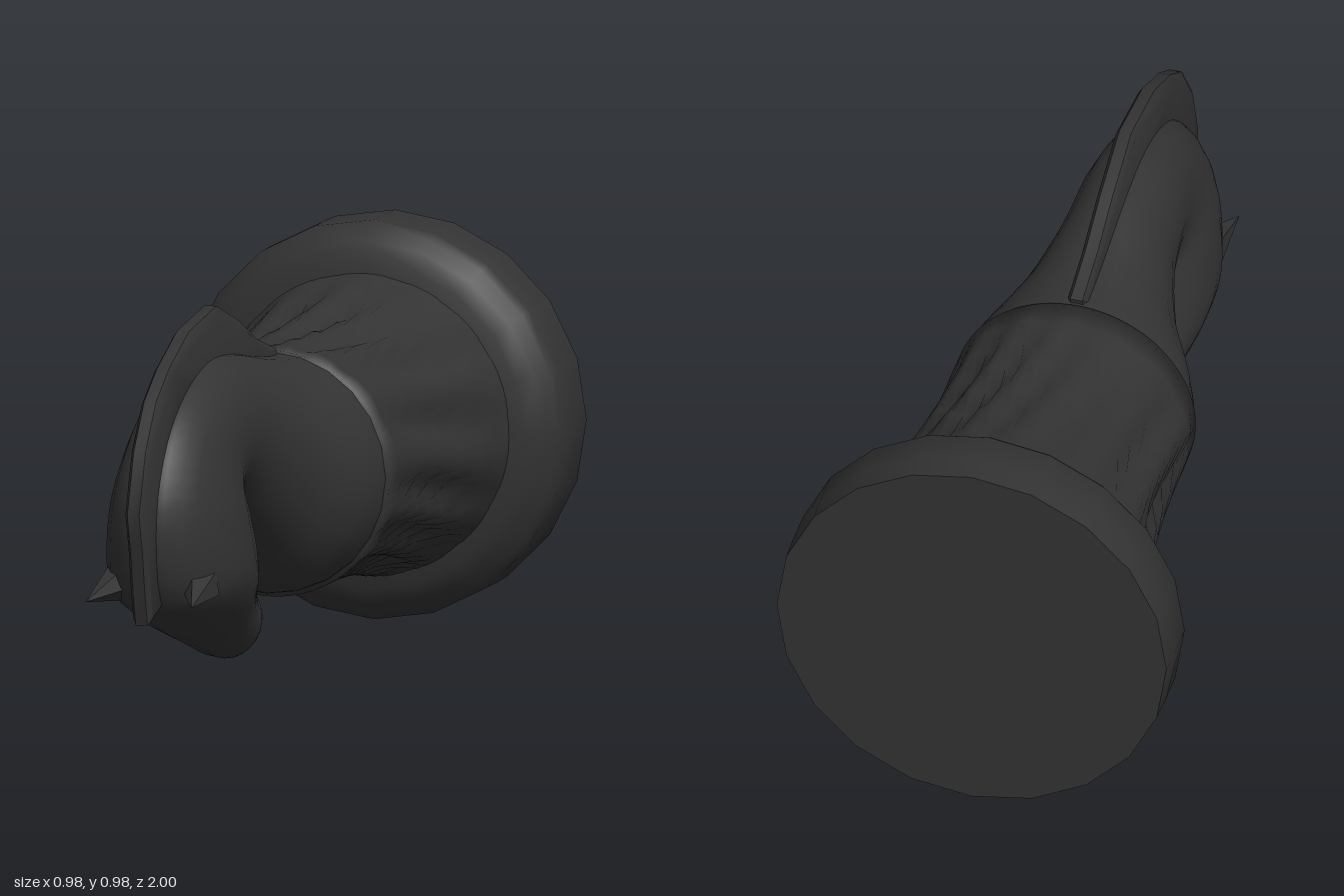
import * as THREE from 'three';
import { toCreasedNormals } from 'three/addons/utils/BufferGeometryUtils.js';

const AXIS_Y = 0.49;
const material = new THREE.MeshStandardMaterial({ color: 0x333333, side: THREE.DoubleSide });

function addMesh(parent, name, geometry) {
  const mesh = new THREE.Mesh(geometry, material);
  mesh.name = name;
  parent.add(mesh);
  return mesh;
}

// Turned shape around the horizontal z axis; profile is [radius, z]
function turned(profile, sides) {
  const geo = new THREE.LatheGeometry(profile.map(([r, z]) => new THREE.Vector2(r, z)), sides);
  return geo.rotateX(Math.PI / 2).translate(0, AXIS_Y, 0);
}

// Loft through sections [outerZ, outerY, innerZ, innerY, halfWidth]
function loft(sections, steps, sides) {
  const curve = (f) => new THREE.CatmullRomCurve3(sections.map(f), false, 'centripetal');
  const outer = curve((s) => new THREE.Vector3(0, s[1], s[0]));
  const inner = curve((s) => new THREE.Vector3(0, s[3], s[2]));
  const width = curve((s, i) => new THREE.Vector3(s[4], i * 0.1, 0));
  const pos = [], index = [];
  for (let i = 0; i <= steps; i++) {
    const t = i / steps;
    const o = outer.getPoint(t), n = inner.getPoint(t), w = width.getPoint(t).x;
    const c = o.clone().add(n).multiplyScalar(0.5);
    const d = o.clone().sub(n).multiplyScalar(0.5);
    for (let j = 0; j < sides; j++) {
      const a = (j / sides) * Math.PI * 2;
      const p = c.clone().addScaledVector(d, Math.cos(a));
      pos.push(w * Math.sin(a), p.y, p.z);
      if (i < steps) {
        const k = i * sides + j, l = i * sides + ((j + 1) % sides);
        index.push(k, k + sides, l, l, k + sides, l + sides);
      }
    }
  }
  const geo = new THREE.BufferGeometry();
  geo.setAttribute('position', new THREE.Float32BufferAttribute(pos, 3));
  geo.setIndex(index);
  geo.computeVertexNormals();
  return geo;
}

// Collar with slanted folds that fade out at both ends
function pleatedCollar() {
  const profile = [[0.375, -0.78], [0.362, -0.72], [0.345, -0.62], [0.325, -0.5], [0.312, -0.4],
    [0.305, -0.3], [0.302, -0.2], [0.302, -0.12], [0.302, -0.05], [0.2, -0.03]];
  const geo = turned(profile, 84);
  const p = geo.attributes.position;
  for (let i = 0; i < p.count; i++) {
    const x = p.getX(i), y = p.getY(i) - AXIS_Y, z = p.getZ(i);
    const fade = Math.max(0, Math.sin(Math.PI * THREE.MathUtils.clamp((z + 0.77) / 0.71, 0, 1)));
    const a = Math.atan2(x, y) + z * 0.75;
    const fold = Math.pow(0.5 + 0.5 * Math.sin(a * 14 + 1.2 * Math.sin(a * 3)), 2);
    const k = 1 + fade * (0.02 - 0.11 * fold);
    p.setXY(i, x * k, AXIS_Y + y * k);
  }
  geo.computeVertexNormals();
  return geo;
}

// Thin crest running over the neck down to the brow
function crest() {
  const outside = [[-0.04, 0.8], [0.1, 0.845], [0.23, 0.91], [0.41, 0.978], [0.62, 0.95], [0.77, 0.885],
    [0.87, 0.82], [0.95, 0.71], [1.0, 0.56], [0.975, 0.47], [0.955, 0.36], [0.935, 0.28]];
  const inside = [[0.83, 0.31], [0.8, 0.5], [0.7, 0.68], [0.5, 0.76], [0.25, 0.74], [-0.02, 0.7]];
  const shape = new THREE.Shape([...outside, ...inside].map(([z, y]) => new THREE.Vector2(z, y)));
  const geo = new THREE.ExtrudeGeometry(shape, {
    depth: 0.03, bevelEnabled: true, bevelThickness: 0.01, bevelSize: 0.015, bevelOffset: -0.015, bevelSegments: 1,
  });
  geo.translate(0, 0, -0.015).rotateY(-Math.PI / 2);
  return toCreasedNormals(geo, 0.7);
}

export function createModel() {
  const model = new THREE.Group();
  model.name = 'horseHeadPiece';

  // Round foot
  addMesh(model, 'base', toCreasedNormals(turned([[0, -1], [0.488, -1], [0.49, -0.93], [0.49, -0.84],
    [0.475, -0.82], [0.445, -0.79], [0.405, -0.762], [0.3, -0.76]], 20), 0.75));

  addMesh(model, 'collar', pleatedCollar());

  // Neck arching over and curling back into the muzzle
  addMesh(model, 'neckAndHead', loft([
    [-0.08, 0.785, -0.08, 0.2, 0.295],
    [-0.03, 0.79, -0.02, 0.2, 0.29],
    [0.03, 0.795, 0.065, 0.23, 0.265],
    [0.15, 0.815, 0.17, 0.315, 0.2],
    [0.32, 0.85, 0.3, 0.425, 0.15],
    [0.5, 0.86, 0.385, 0.495, 0.135],
    [0.68, 0.81, 0.4, 0.51, 0.13],
    [0.82, 0.71, 0.4, 0.505, 0.137],
    [0.9, 0.55, 0.39, 0.48, 0.158],
    [0.87, 0.33, 0.375, 0.44, 0.17],
    [0.72, 0.24, 0.355, 0.385, 0.155],
    [0.5, 0.155, 0.32, 0.345, 0.115],
    [0.35, 0.105, 0.26, 0.295, 0.088],
    [0.26, 0.095, 0.2, 0.255, 0.072],
    [0.18, 0.15, 0.172, 0.215, 0.045],
    [0.172, 0.18, 0.172, 0.181, 0.001],
  ], 60, 24));

  addMesh(model, 'mane', crest());

  // Small pointed ears
  for (const side of [1, -1]) {
    const from = new THREE.Vector3(side * 0.1, 0.36, 0.78);
    const tip = new THREE.Vector3(side * 0.135, 0.335, 0.96);
    const dir = tip.clone().sub(from);
    const ear = addMesh(model, side > 0 ? 'leftEar' : 'rightEar',
      toCreasedNormals(new THREE.ConeGeometry(0.05, dir.length(), 5), 0.5));
    ear.position.copy(from).add(tip).multiplyScalar(0.5);
    ear.quaternion.setFromUnitVectors(new THREE.Vector3(0, 1, 0), dir.normalize());
  }
  return model;
}
